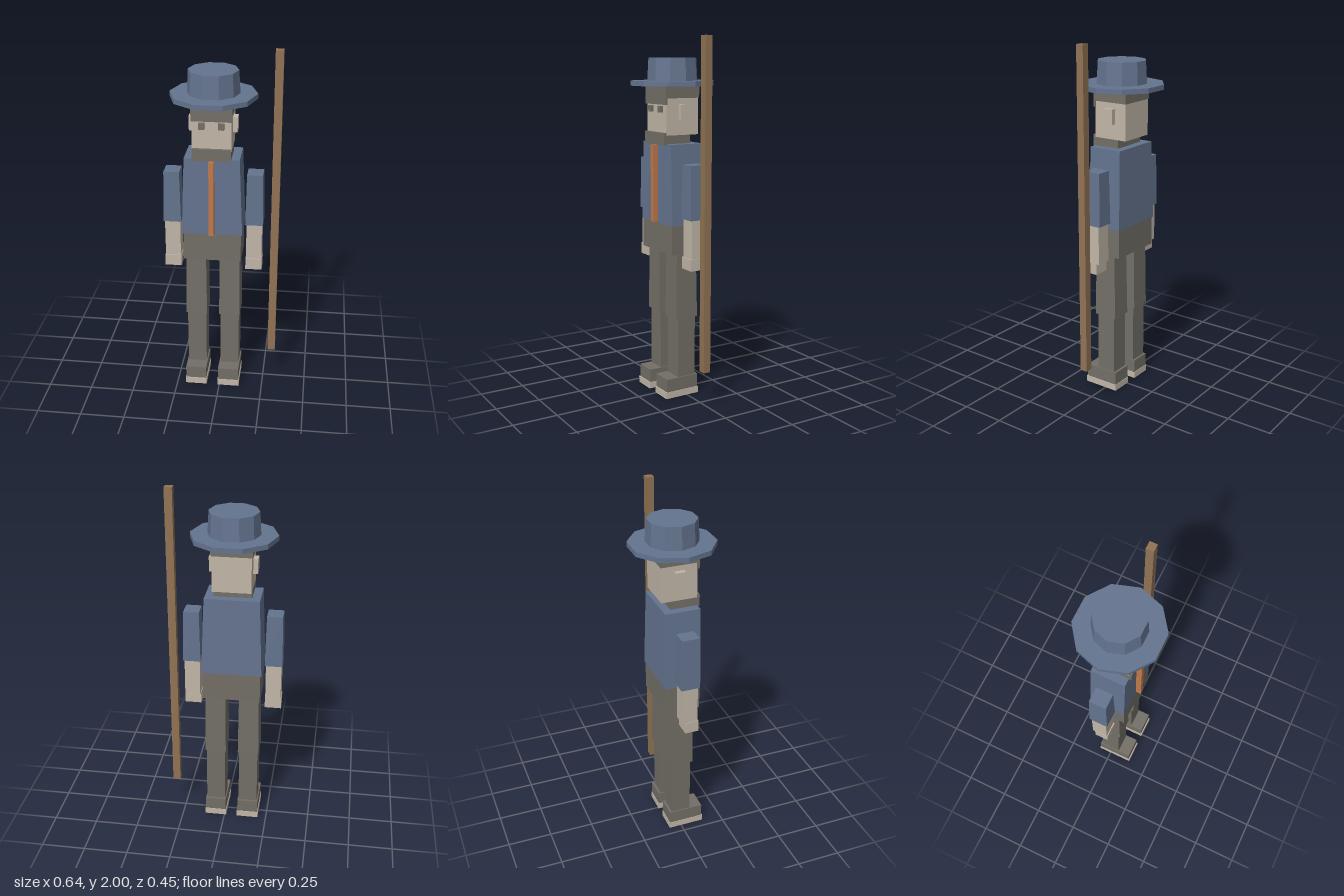
import * as THREE from 'three';

const material = (name, color) => {
  const m = new THREE.MeshStandardMaterial({ color });
  m.name = name;
  return m;
};

// Box from x, y and z ranges; top optionally gives narrower [x0, x1, z0, z1] at the upper end
function block(parent, name, mat, [x0, x1], [y0, y1], [z0, z1], top) {
  const geo = new THREE.BoxGeometry(1, 1, 1);
  const p = geo.attributes.position;
  const upper = top || [x0, x1, z0, z1];
  for (let i = 0; i < p.count; i++) {
    const up = p.getY(i) > 0;
    const [a, b, c, d] = up ? upper : [x0, x1, z0, z1];
    p.setXYZ(i, p.getX(i) > 0 ? b : a, up ? y1 : y0, p.getZ(i) > 0 ? d : c);
  }
  geo.computeVertexNormals();
  const mesh = new THREE.Mesh(geo, mat);
  mesh.name = name;
  parent.add(mesh);
  return mesh;
}

export function createModel() {
  const model = new THREE.Group();
  model.name = 'manWithStaff';

  const blue = material('blue cloth', 0x64748f);
  blue.flatShading = true;
  const grey = material('dark grey', 0x736f67);
  const skin = material('skin', 0xc2b6a8);
  const wood = material('wood', 0x917354);
  const orange = material('orange', 0xc07a4c);

  // The figure is built about its own centre line, beside the staff
  const man = new THREE.Group();
  man.name = 'man';
  man.position.x = -0.043;
  model.add(man);

  // Torso and hips
  block(man, 'shirt', blue, [-0.167, 0.167], [0.985, 1.427], [-0.103, 0.102], [-0.15, 0.15, -0.095, 0.1]);
  block(man, 'hips', grey, [-0.16, 0.16], [0.823, 0.985], [-0.098, 0.1]);
  block(man, 'tie', orange, [-0.014, 0.014], [0.99, 1.418], [0.09, 0.132]);

  // Head, beard and hair
  block(man, 'head', skin, [-0.105, 0.105], [1.473, 1.69], [-0.1, 0.1]);
  block(man, 'beard', grey, [-0.104, 0.104], [1.42, 1.473], [-0.05, 0.1]);
  block(man, 'chinBeard', grey, [-0.104, 0.104], [1.42, 1.487], [0.1, 0.115]);
  block(man, 'hair', grey, [-0.11, 0.11], [1.672, 1.74], [-0.104, 0.108]);
  block(man, 'fringe', grey, [-0.108, 0.108], [1.638, 1.74], [0.095, 0.11]);

  // Hat: ten-sided brim and slightly tapered crown
  const hat = new THREE.Group();
  hat.name = 'hat';
  man.add(hat);
  for (const [name, rTop, rBottom, y0, y1] of [
    ['brim', 0.234, 0.234, 1.737, 1.764],
    ['crown', 0.134, 0.141, 1.764, 1.887],
  ]) {
    const geo = new THREE.CylinderGeometry(rTop, rBottom, y1 - y0, 10);
    geo.rotateY(Math.PI / 2);
    const mesh = new THREE.Mesh(geo, blue);
    mesh.name = name;
    mesh.position.y = (y0 + y1) / 2;
    hat.add(mesh);
  }

  // Paired parts, each limb about its own axis
  for (const [side, s] of [['left', 1], ['right', -1]]) {
    const ear = block(man, side + 'Ear', skin, [-0.0145, 0.0145], [1.557, 1.64], [-0.03, 0.026]);
    ear.position.x = s * 0.116;
    const eye = block(man, side + 'Eye', grey, [-0.016, 0.016], [1.595, 1.63], [0.095, 0.115]);
    eye.position.x = s * 0.052;

    const arm = new THREE.Group();
    arm.name = side + 'Arm';
    arm.position.x = s * 0.228;
    man.add(arm);
    block(arm, 'sleeve', blue, [-0.049, 0.049], [1.027, 1.323], [-0.053, 0.053], [-0.043, 0.043, -0.049, 0.049]);
    block(arm, 'forearm', skin, [-0.043, 0.043], [0.81, 1.027], [-0.043, 0.043]);
    block(arm, 'hand', skin, [-0.046, 0.046], [0.75, 0.815], [-0.028, 0.049]);

    const leg = new THREE.Group();
    leg.name = side + 'Leg';
    leg.position.x = s * 0.095;
    man.add(leg);
    block(leg, 'thigh', grey, [-0.06, 0.06], [0.453, 0.823], [-0.067, 0.069], [-0.056, 0.056, -0.06, 0.064]);
    block(leg, 'shin', grey, [-0.054, 0.054], [0.112, 0.453], [-0.056, 0.056]);
    block(leg, 'shoe', grey, [-0.06, 0.06], [0.037, 0.112], [-0.07, 0.13]);
    block(leg, 'sole', skin, [-0.063, 0.063], [0, 0.037], [-0.073, 0.136]);
  }

  // Staff standing clear of the left hand
  block(model, 'staff', wood, [0.276, 0.319], [0.195, 2], [-0.021, 0.021]);

  return model;
}
